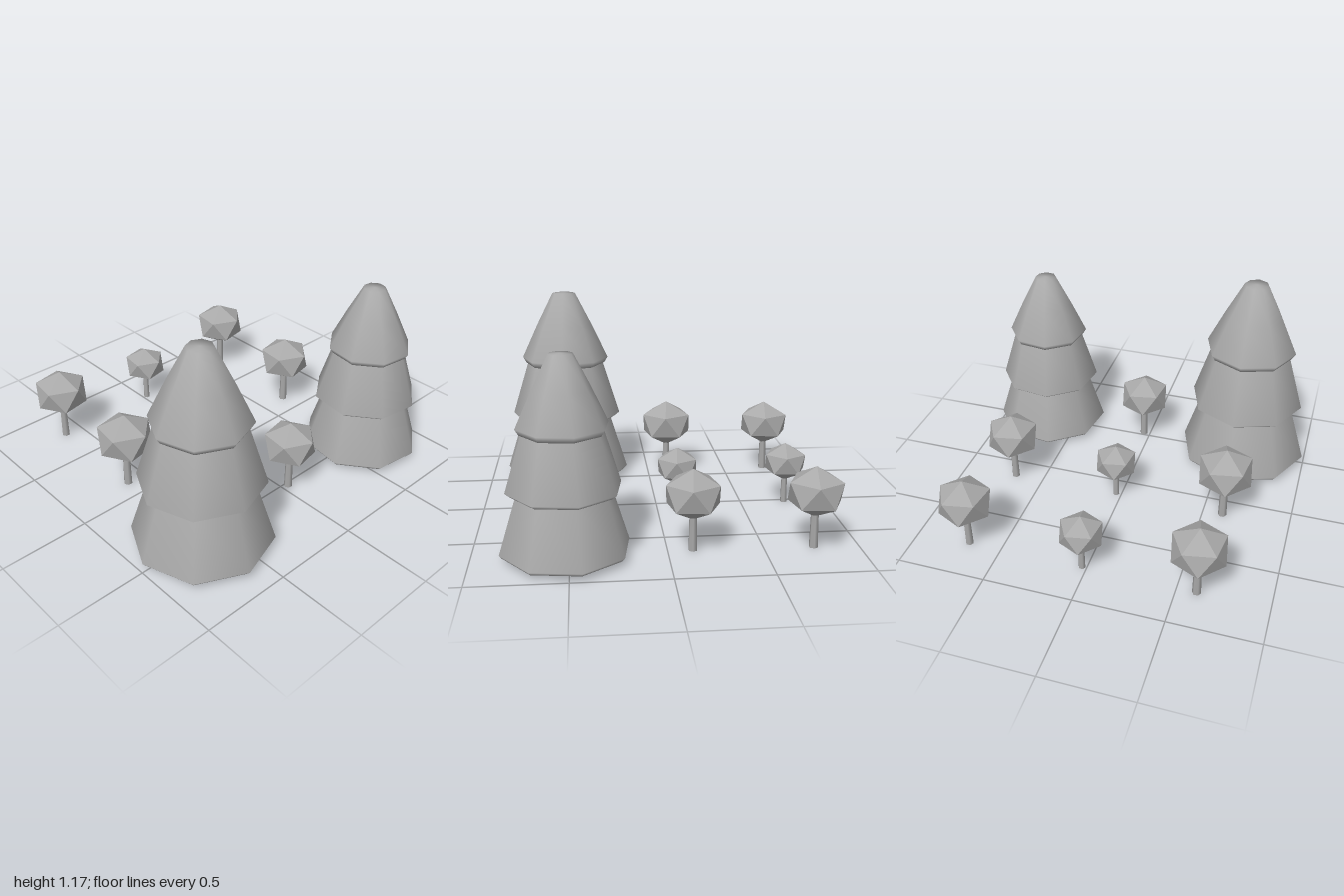
import * as THREE from 'three';

const smoothGrey = new THREE.MeshStandardMaterial({ color: 0xaaaaaa });
smoothGrey.name = 'grey';
// same grey, faceted for the low-poly crowns
const facetGrey = smoothGrey.clone();
facetGrey.flatShading = true;
facetGrey.name = 'facetedGrey';

function addMesh(parent, name, geometry, material) {
  const mesh = new THREE.Mesh(geometry, material);
  mesh.name = name;
  parent.add(mesh);
  return mesh;
}

// Tapered skirt of a conifer: [radius, height] profile, eight sides
function tierGeometry(profile) {
  return new THREE.LatheGeometry(profile.map(([r, y]) => new THREE.Vector2(r, y)), 8);
}

const TIERS = [
  ['lowerTier', [[0, 0.03], [0.365, 0.03], [0.382, 0.05], [0.277, 0.385], [0.25, 0.42], [0, 0.42]]],
  ['middleTier', [[0, 0.385], [0.305, 0.385], [0.336, 0.41], [0.235, 0.735], [0.2, 0.77], [0, 0.77]]],
  ['upperTier', [[0, 0.735], [0.245, 0.735], [0.266, 0.77], [0.17, 0.975], [0.07, 1.172], [0, 1.175]]],
];

function conifer(x, z, scale, turn) {
  const tree = new THREE.Group();
  tree.name = 'conifer';
  for (const [name, profile] of TIERS) addMesh(tree, name, tierGeometry(profile), smoothGrey);
  const trunk = new THREE.CylinderGeometry(0.026, 0.026, 0.1, 8).translate(0, 0.05, 0);
  addMesh(tree, 'coniferTrunk', trunk, smoothGrey);
  tree.position.set(x, 0, z);
  tree.rotation.y = THREE.MathUtils.degToRad(turn);
  tree.scale.setScalar(scale);
  return tree;
}

// Round tree sized by its crown radius: icosahedron standing on a vertex
function roundTree(x, z, radius) {
  const tree = new THREE.Group();
  tree.name = 'roundTree';
  const crown = new THREE.IcosahedronGeometry(1.13, 0)
    .rotateX(-Math.atan((1 + Math.sqrt(5)) / 2))
    .rotateY(THREE.MathUtils.degToRad(29))
    .scale(1, 0.84, 1)
    .translate(0, 2.13, 0);
  addMesh(tree, 'crown', crown, facetGrey);
  const trunk = new THREE.CylinderGeometry(0.14, 0.165, 1.5, 6).translate(0, 0.75, 0);
  addMesh(tree, 'trunk', trunk, smoothGrey);
  tree.position.set(x, 0, z);
  tree.scale.setScalar(radius);
  return tree;
}

export function createModel() {
  const grove = new THREE.Group();
  grove.name = 'grove';

  grove.add(conifer(0.52, 0.61, 1, -3.8), conifer(0.52, -0.675, 0.889, 14.5));

  const roundTrees = [
    [-0.76, -0.69, 0.143], [-0.13, -0.675, 0.143],
    [-0.757, -0.027, 0.117], [-0.12, -0.032, 0.114], [0.52, -0.04, 0.14],
    [-0.76, 0.608, 0.146], [-0.12, 0.614, 0.151],
  ];
  for (const [x, z, r] of roundTrees) grove.add(roundTree(x, z, r));
  return grove;
}
